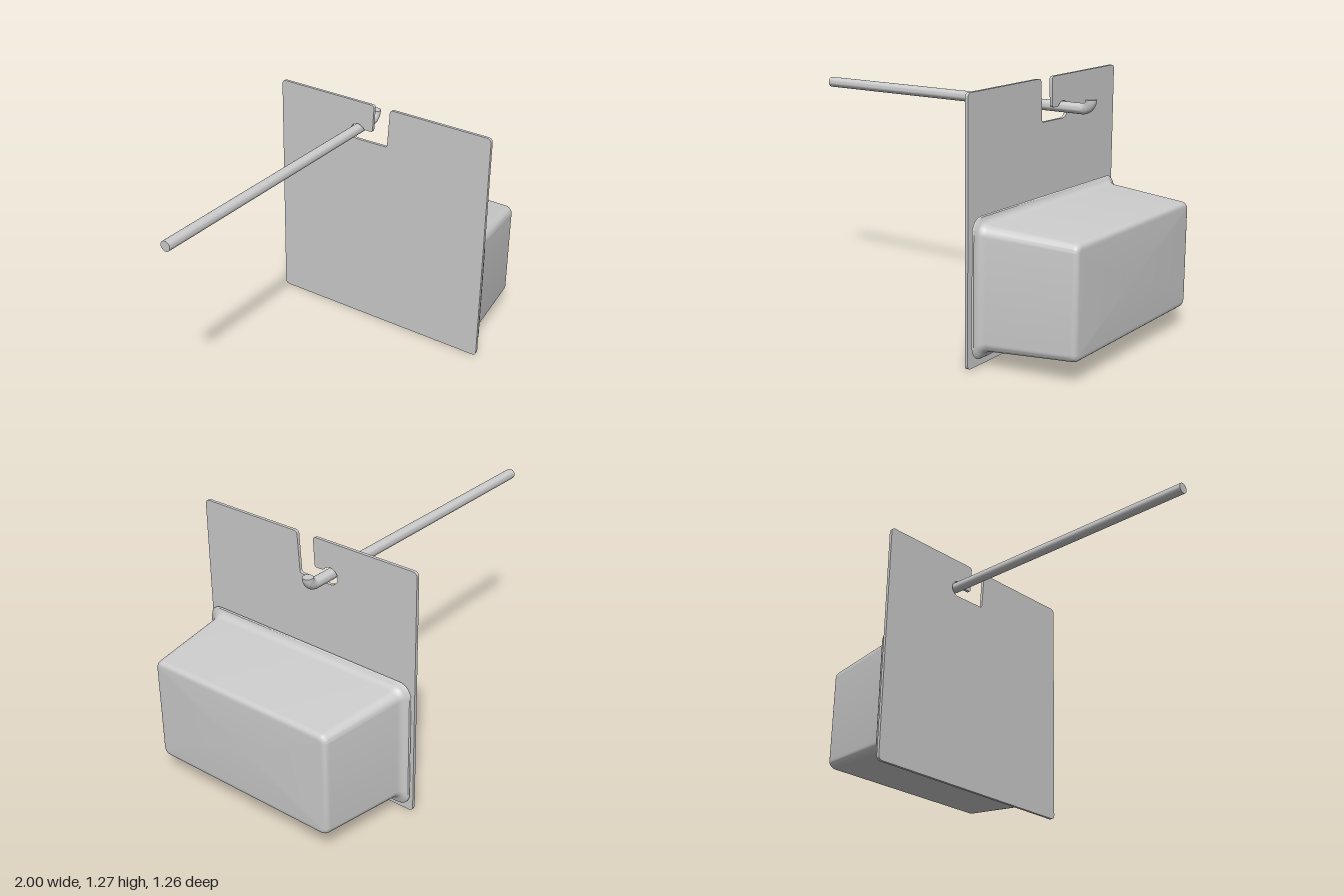
import * as THREE from 'three';
import { toCreasedNormals } from 'three/addons/utils/BufferGeometryUtils.js';

const material = new THREE.MeshStandardMaterial({ color: 0xcccccc, side: THREE.DoubleSide });

function part(name, geometry) {
  const mesh = new THREE.Mesh(toCreasedNormals(geometry, 0.6), material);
  mesh.name = name;
  return mesh;
}

// Upright plate with rounded corners and a hooked hanging slot
function plateGeometry() {
  const w = 0.632, h = 1.27, r = 0.025;
  const s = new THREE.Shape();
  s.moveTo(-w + r, 0);
  s.lineTo(w - r, 0);
  s.quadraticCurveTo(w, 0, w, r);
  s.lineTo(w, h - r);
  s.quadraticCurveTo(w, h, w - r, h);
  // tooth
  s.lineTo(0.064, h);
  s.quadraticCurveTo(0.046, h, 0.047, h - 0.018);
  s.lineTo(0.053, 1.133);
  s.quadraticCurveTo(0.054, 1.12, 0.064, 1.12);
  s.lineTo(0.092, 1.12);
  s.quadraticCurveTo(0.104, 1.12, 0.112, 1.13);
  // seat for the rod
  s.absarc(0.145, 1.101, 0.043, 2.4, -Math.PI / 2, true);
  s.lineTo(-0.022, 1.06);
  s.quadraticCurveTo(-0.037, 1.06, -0.038, 1.075);
  s.lineTo(-0.049, h - 0.018);
  s.quadraticCurveTo(-0.05, h, -0.068, h);
  s.lineTo(-w + r, h);
  s.quadraticCurveTo(-w, h, -w, h - r);
  s.lineTo(-w, r);
  s.quadraticCurveTo(-w, 0, -w + r, 0);
  const g = new THREE.ExtrudeGeometry(s, { depth: 0.016, bevelEnabled: false, curveSegments: 16 });
  return g.rotateY(Math.PI / 2).translate(0.482, 0, 0);
}

// Rounded-rectangle cross-sections joined along x, closed at the last one
function loftGeometry(rings) {
  const steps = 8, n = 4 * (steps + 1), pos = [], index = [];
  for (const [x, hz, y0, y1, r, tilt = 0] of rings) {
    const cy = (y0 + y1) / 2, hy = (y1 - y0) / 2;
    for (let c = 0; c < 4; c++) {
      const sz = c === 0 || c === 3 ? 1 : -1, sy = c < 2 ? 1 : -1;
      for (let i = 0; i <= steps; i++) {
        const a = (c + i / steps) * Math.PI / 2;
        const z = sz * (hz - r) + r * Math.cos(a);
        pos.push(x, cy + sy * (hy - r) + r * Math.sin(a) + tilt * z, z);
      }
    }
  }
  for (let k = 0; k < rings.length - 1; k++) {
    for (let i = 0; i < n; i++) {
      const a = k * n + i, b = k * n + (i + 1) % n;
      index.push(a, a + n, b, b, a + n, b + n);
    }
  }
  const last = rings[rings.length - 1], base = (rings.length - 1) * n;
  pos.push(last[0], (last[2] + last[3]) / 2, 0);
  for (let i = 0; i < n; i++) index.push(base + i, rings.length * n, base + (i + 1) % n);
  const g = new THREE.BufferGeometry();
  g.setAttribute('position', new THREE.Float32BufferAttribute(pos, 3));
  g.setIndex(index);
  return g;
}

// Tapered tray: flared lip, drafted walls, rounded far edge
function trayGeometry() {
  return loftGeometry([
    [0.515, 0.625, 0.036, 0.708, 0.07, 0.006],
    [0.522, 0.62, 0.041, 0.703, 0.07, 0.006],
    [0.527, 0.602, 0.057, 0.687, 0.06],
    [0.536, 0.593, 0.067, 0.679, 0.055],
    [0.547, 0.587, 0.074, 0.672, 0.05],
    [0.562, 0.583, 0.078, 0.669, 0.05],
    [0.974, 0.528, 0.105, 0.644, 0.04],
    [0.986, 0.525, 0.108, 0.641, 0.038],
    [0.995, 0.518, 0.115, 0.634, 0.032],
    [0.999, 0.509, 0.124, 0.625, 0.025],
    [1.0, 0.498, 0.135, 0.614, 0.016],
  ]);
}

// Long round rod whose tip bends upward
function rodGeometries() {
  const y = 1.113, z = -0.148, radius = 0.027, bend = 0.047, tip = 0.607;
  const path = new THREE.CurvePath();
  const v = (x, py) => new THREE.Vector3(x, py, z);
  path.add(new THREE.LineCurve3(v(-1, y), v(tip, y)));
  const k = bend * 0.5523;
  path.add(new THREE.CubicBezierCurve3(v(tip, y), v(tip + k, y), v(tip + bend, y + bend - k), v(tip + bend, y + bend)));
  const cap = () => new THREE.CircleGeometry(radius, 24);
  return {
    rod: new THREE.TubeGeometry(path, 240, radius, 24),
    rodBackCap: cap().rotateY(-Math.PI / 2).translate(-1, y, z),
    rodTipCap: cap().rotateX(-Math.PI / 2).translate(tip + bend, y + bend, z),
  };
}

export function createModel() {
  const model = new THREE.Group();
  model.name = 'hangingTray';
  model.add(part('plate', plateGeometry()), part('tray', trayGeometry()));
  const hook = new THREE.Group();
  hook.name = 'hookRod';
  for (const [name, geometry] of Object.entries(rodGeometries())) hook.add(part(name, geometry));
  model.add(hook);
  return model;
}
